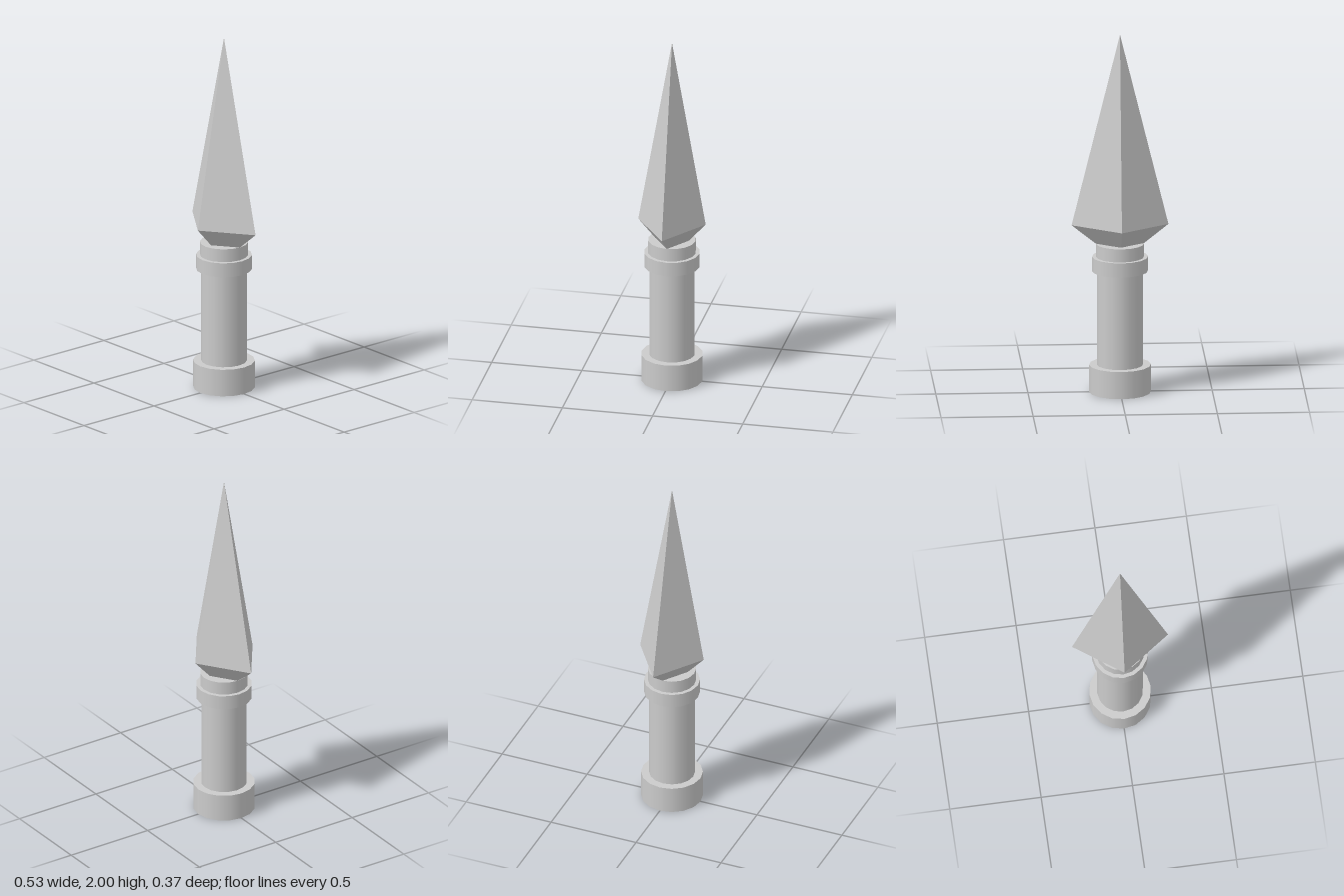
import * as THREE from 'three';

export function createModel() {
  const model = new THREE.Group();
  model.name = 'spearheadDagger';
  const smooth = new THREE.MeshStandardMaterial({ color: 0xcccccc });
  const faceted = new THREE.MeshStandardMaterial({ color: 0xcccccc, flatShading: true });

  // Upright tapered prism between two heights
  function addSection(parent, name, y0, y1, r0, r1, sides, material, open = false) {
    const geometry = new THREE.CylinderGeometry(r1, r0, y1 - y0, sides, 1, open);
    const mesh = new THREE.Mesh(geometry, material);
    mesh.position.y = (y0 + y1) / 2;
    mesh.name = name;
    parent.add(mesh);
  }

  // Handle: pommel, grip, guard ring and collar, all 16-sided and smooth
  const handle = new THREE.Group();
  handle.name = 'handle';
  const handleParts = [
    ['pommel', 0, 0.152, 0.168],
    ['grip', 0.152, 0.677, 0.125, true],
    ['guardRing', 0.677, 0.757, 0.152],
    ['collar', 0.757, 0.83, 0.131],
  ];
  for (const [name, y0, y1, r, open] of handleParts) {
    addSection(handle, name, y0, y1, r, r, 16, smooth, open);
  }
  model.add(handle);

  // Blade: four-sided diamond section, flattened front to back
  const blade = new THREE.Group();
  blade.name = 'blade';
  addSection(blade, 'bladeBase', 0.83, 0.935, 0.131, 0.263, 4, faceted);
  addSection(blade, 'bladePoint', 0.935, 2, 0.263, 0, 4, faceted, true);
  blade.scale.z = 0.187 / 0.263;
  model.add(blade);

  return model;
}
